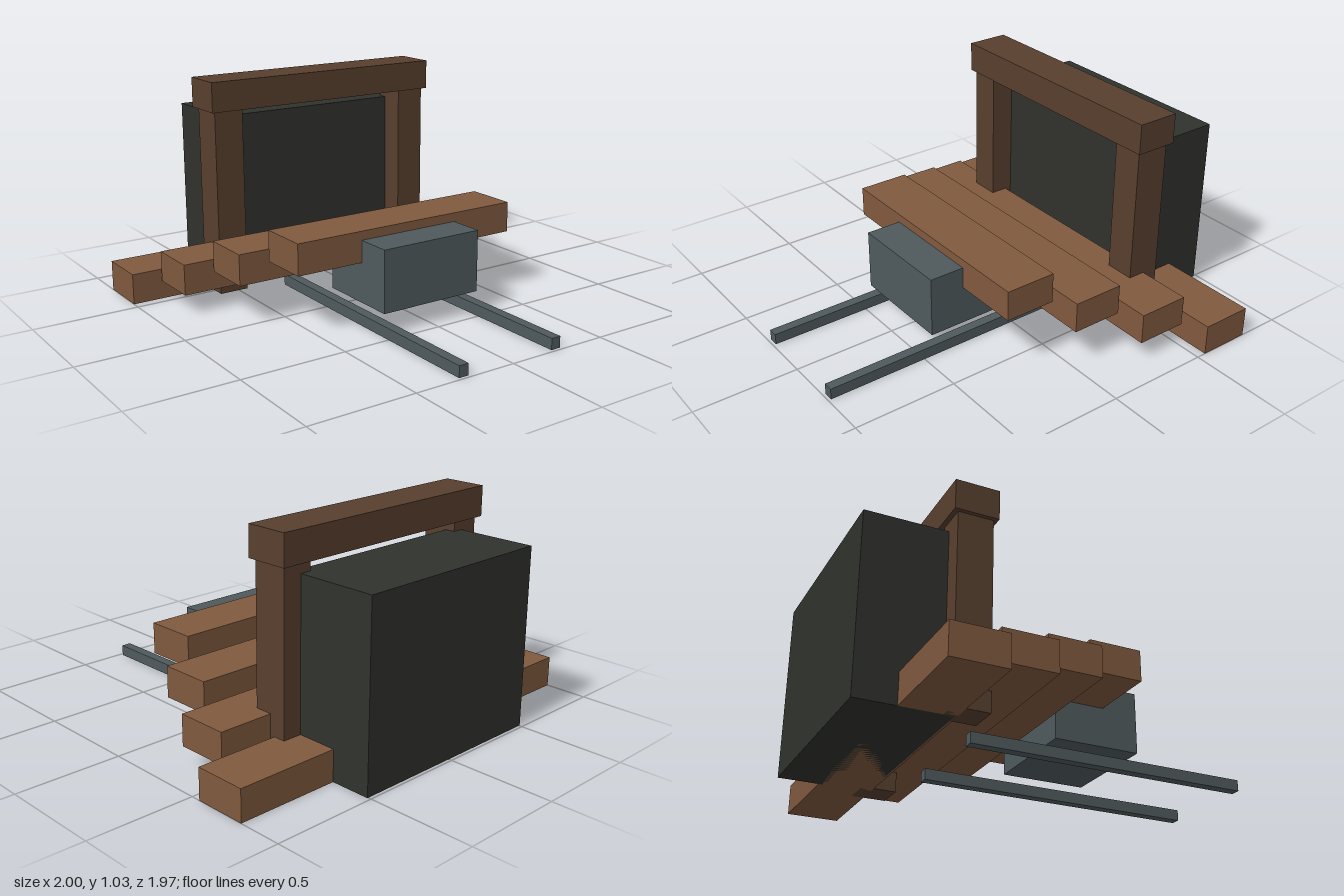
import * as THREE from 'three';

const material = (color) => new THREE.MeshStandardMaterial({ color, flatShading: true });

export function createModel() {
  const model = new THREE.Group();
  model.name = 'mineEntrance';

  const plankWood = material(0x80593f);
  const frameWood = material(0x583f2e);
  const steel = material(0x4f5a5d);
  const rock = material(0x30322d);

  // Box given by its extents on each axis
  function addBox(name, mat, [x0, x1], [y0, y1], [z0, z1]) {
    const mesh = new THREE.Mesh(new THREE.BoxGeometry(x1 - x0, y1 - y0, z1 - z0), mat);
    mesh.position.set((x0 + x1) / 2, (y0 + y1) / 2, (z0 + z1) / 2);
    mesh.name = name;
    model.add(mesh);
  }

  // Dark tunnel block behind the frame
  addBox('tunnel', rock, [-0.505, 0.505], [0, 0.842], [-0.985, -0.555]);

  // Stepped planks, rising and narrowing toward the front
  for (let i = 0; i < 4; i++) {
    const half = 1 - i * 0.137;
    const y = i * 0.096;
    const z = -0.795 + i * 0.273;
    addBox(`plank${i + 1}`, plankWood, [-half, half], [y, y + 0.146], [z, z + 0.25]);
  }

  // Timber posts and rails, mirrored
  for (const [side, s] of [['left', 1], ['right', -1]]) {
    const span = (a, b) => (s > 0 ? [a, b] : [-b, -a]);
    addBox(`${side}Post`, frameWood, span(0.453, 0.598), [0, 0.89], [-0.603, -0.438]);
    addBox(`${side}Rail`, steel, span(0.227, 0.275), [0, 0.053], [-0.383, 0.985]);
  }
  addBox('lintel', frameWood, [-0.618, 0.618], [0.89, 1.033], [-0.625, -0.42]);

  // Cart body
  addBox('cart', steel, [-0.26, 0.26], [0.1, 0.392], [0.03, 0.447]);

  return model;
}
